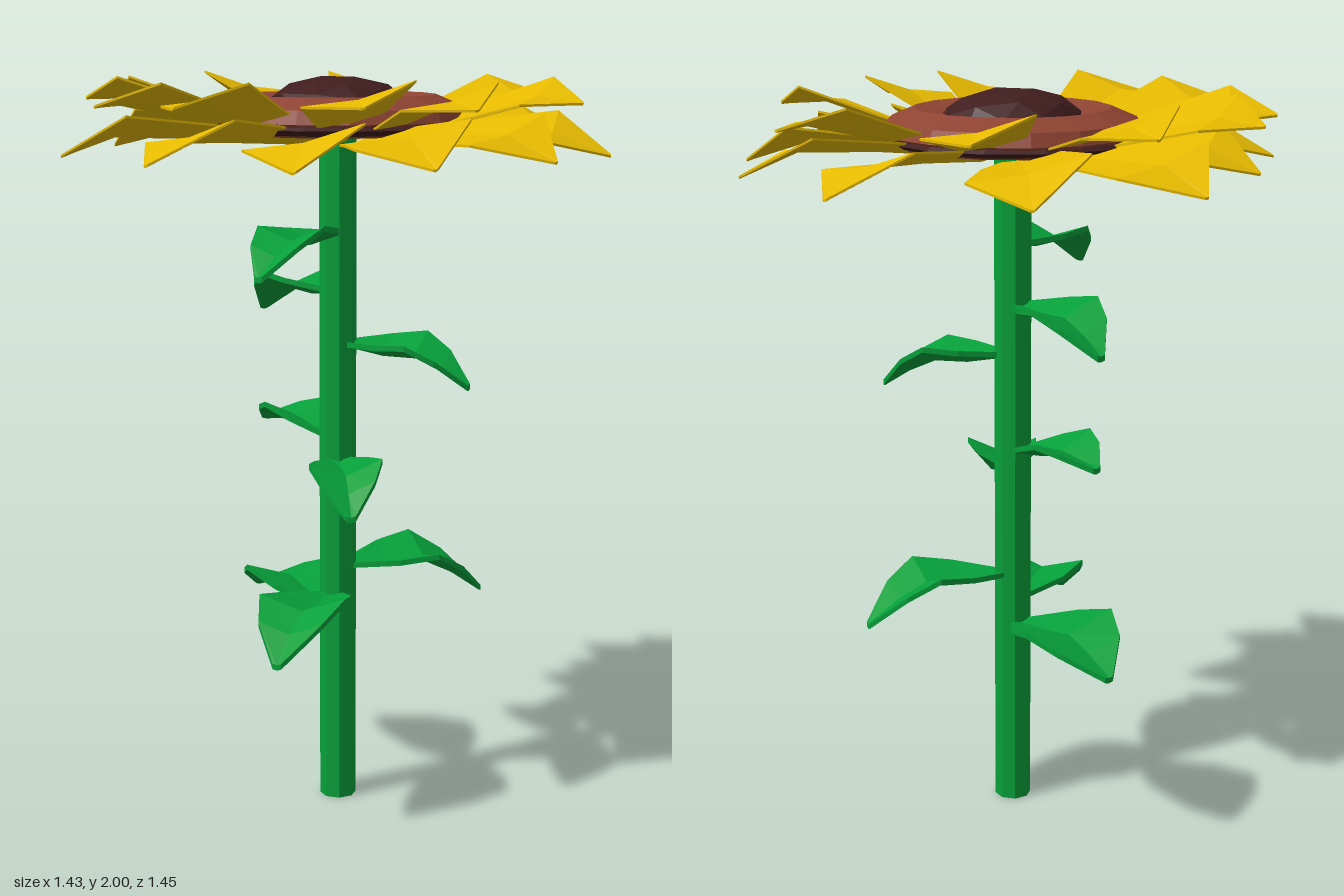
import * as THREE from 'three';

const paint = (name, color) => {
  const m = new THREE.MeshStandardMaterial({ color });
  m.name = name;
  return m;
};

// Faceted normals for every face
function flat(geometry) {
  const g = geometry.index ? geometry.toNonIndexed() : geometry;
  g.computeVertexNormals();
  return g;
}

function part(name, geometry, material, y = 0) {
  const mesh = new THREE.Mesh(flat(geometry), material);
  mesh.name = name;
  mesh.position.y = y;
  return mesh;
}

// Folded blade pointing along +x, rolled sideways by the slope "roll".
// Each station: [distance, height of the crease, half width, rise of the edges]
function blade(stations, thick, roll) {
  const pos = [], idx = [], n = 6;
  for (const [r, y, w, lift] of stations) {
    const left = y + lift + w * roll, right = y + lift - w * roll;
    pos.push(r, left, -w, r, y, 0, r, right, w);
    pos.push(r, right - thick, w, r, y - thick, 0, r, left - thick, -w);
  }
  for (let i = 0; i < stations.length - 1; i++) {
    for (let j = 0; j < n; j++) {
      const a = i * n + j, b = i * n + (j + 1) % n;
      idx.push(a, b, a + n, b, b + n, a + n);
    }
  }
  // end caps, each half of the fold closed separately
  const e = (stations.length - 1) * n;
  for (const [a, b, c, d] of [[0, 1, 4, 5], [1, 2, 3, 4]]) {
    idx.push(a, c, b, a, d, c);
    idx.push(e + a, e + b, e + c, e + a, e + c, e + d);
  }
  const g = new THREE.BufferGeometry();
  g.setAttribute('position', new THREE.Float32BufferAttribute(pos, 3));
  g.setIndex(idx);
  return g;
}

const lathe = (points, sides) =>
  new THREE.LatheGeometry(points.map(([x, y]) => new THREE.Vector2(x, y)), sides);

export function createModel() {
  const yellow = paint('petal yellow', 0xe6ba00);
  const green = paint('leaf green', 0x06a03a);
  const brown = paint('ring brown', 0x8f4433);
  const dark = paint('seed brown', 0x401d1e);

  const model = new THREE.Group();
  model.name = 'sunflower';

  // Stem
  model.add(part('stem', new THREE.CylinderGeometry(0.05, 0.05, 1.86, 8), green, 0.93));

  // Leaves: [tip x, tip z, base y, shoulder edge y, tip y]
  const leaves = new THREE.Group();
  leaves.name = 'leaves';
  const leafList = [
    [0.04, 0.36, 1.59, 1.62, 1.5],
    [-0.36, -0.1, 1.43, 1.465, 1.35],
    [0.345, -0.13, 1.29, 1.31, 1.19],
    [-0.33, -0.07, 1.03, 1.1, 1.04],
    [0.24, 0.23, 0.97, 1.0, 0.88],
    [-0.44, -0.16, 0.53, 0.61, 0.51],
    [0.13, 0.4, 0.59, 0.64, 0.5],
    [0.22, -0.36, 0.67, 0.71, 0.57],
  ];
  for (const [x, z, base, top, tip] of leafList) {
    const len = Math.hypot(x, z), w = 0.1 + (len - 0.34) * 0.3;
    const leaf = part('leaf', blade([
      [0.03, base, 0.025, 0.005],
      [len * 0.35, base * 0.4 + top * 0.6 - 0.03, w * 0.8, 0.03],
      [len * 0.6, top - 0.04, w, 0.04],
      [len * 0.8, top * 0.6 + tip * 0.4 - 0.025, w * 0.72, 0.03],
      [len, tip, 0.012, 0.003],
    ], 0.015, 0.05), green);
    leaf.rotation.y = -Math.atan2(z, x);
    leaves.add(leaf);
  }
  model.add(leaves);

  // Petals in two layers: [angle in degrees, reach]
  const layers = [
    {
      name: 'lowerPetals',
      list: [[-90, 0.73], [-57, 0.73], [-29, 0.72], [2, 0.715], [31, 0.71], [58, 0.72],
        [89, 0.725], [128, 0.73], [161, 0.66], [194, 0.735], [229, 0.74]],
      shape: (r) => [
        [0.13, 1.83, 0.04, 0.005],
        [0.34, 1.85, 0.1, 0.01],
        [r * 0.79, 1.86, 0.15, 0.015],
        [r, 1.8, 0.006, 0.002],
      ],
    },
    {
      name: 'upperPetals',
      list: [[-69, 0.68], [-17, 0.67], [20, 0.665], [44, 0.6], [86, 0.67],
        [113, 0.68], [149, 0.685], [168, 0.69], [203, 0.69], [241, 0.685]],
      shape: (r) => [
        [0.18, 1.855, 0.05, 0.005],
        [0.35, 1.895, 0.09, 0.01],
        [r * 0.82, 1.95, 0.14, 0.015],
        [r, 1.935, 0.006, 0.002],
      ],
    },
  ];
  for (const { name, list, shape } of layers) {
    const layer = new THREE.Group();
    layer.name = name;
    list.forEach(([deg, reach], i) => {
      const petal = part('petal', blade(shape(reach), 0.006, 0.22), yellow);
      petal.rotation.y = -THREE.MathUtils.degToRad(deg);
      petal.position.y = ((i * 3) % 5 - 2) * 0.002;
      layer.add(petal);
    });
    model.add(layer);
  }

  // Flower head: dark backing rim, raised ring and domed centre
  model.add(part('headBacking', lathe(
    [[0.22, 1.86], [0.31, 1.855], [0.35, 1.87], [0.33, 1.885], [0.22, 1.885]], 14), dark));
  model.add(part('headRing', lathe(
    [[0.13, 1.84], [0.3, 1.85], [0.345, 1.885], [0.33, 1.92], [0.26, 1.95],
      [0.185, 1.935], [0.16, 1.89], [0.13, 1.84]], 16), brown));
  const dome = new THREE.IcosahedronGeometry(0.185, 1);
  dome.rotateX(Math.atan(2 / (1 + Math.sqrt(5))));
  dome.scale(1, 0.43, 1);
  model.add(part('seedDome', dome, dark, 1.92));

  return model;
}
